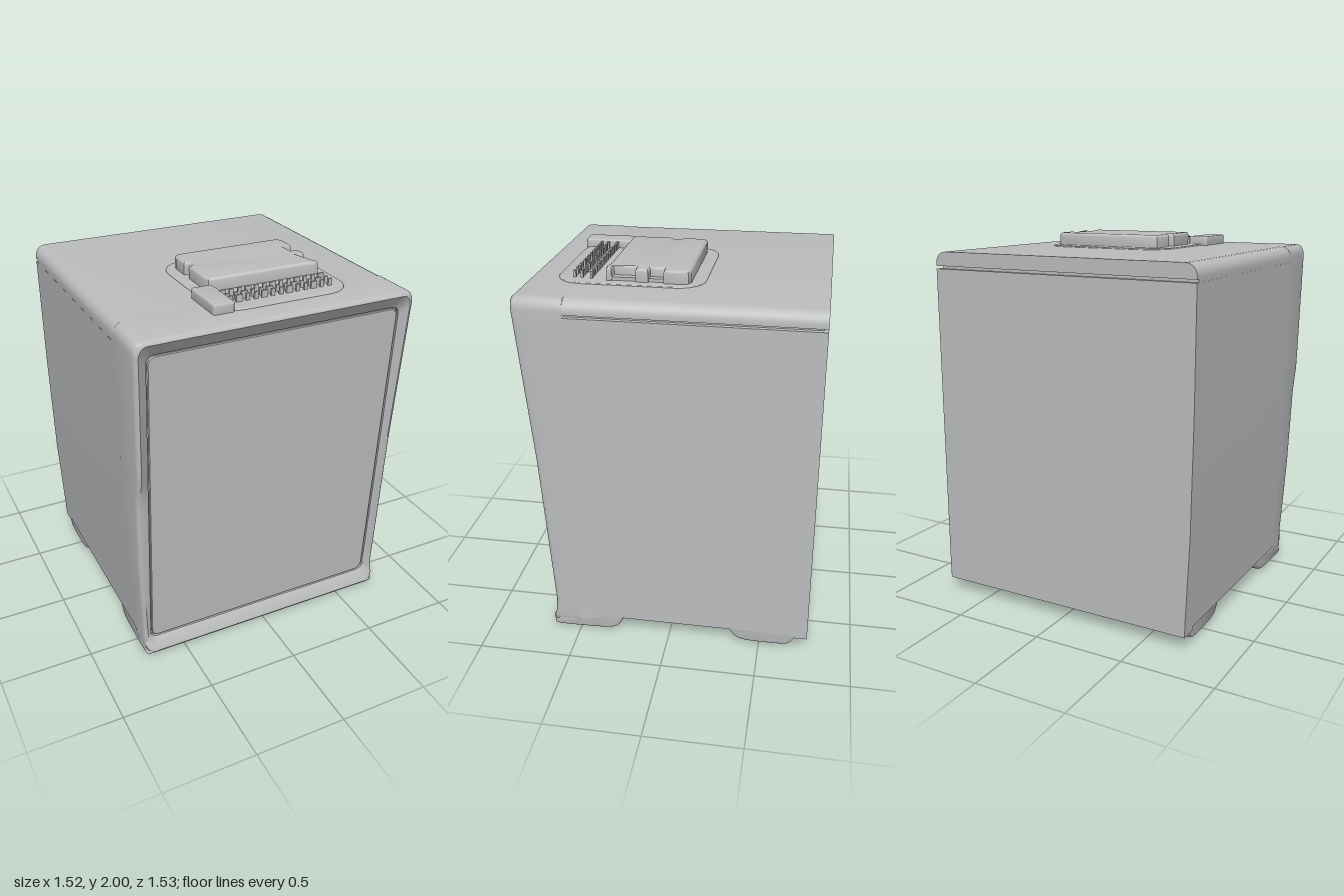
import * as THREE from 'three';
import { toCreasedNormals } from 'three/addons/utils/BufferGeometryUtils.js';

const grey = new THREE.MeshStandardMaterial({ color: 0xbcbdbf });
grey.name = 'casing grey';

// Piecewise linear lookup through [key, value] pairs
function lerpTable(table, k) {
  if (k <= table[0][0]) return table[0][1];
  for (let i = 1; i < table.length; i++) {
    const [k0, v0] = table[i - 1], [k1, v1] = table[i];
    if (k <= k1) return v0 + (v1 - v0) * (k - k0) / (k1 - k0);
  }
  return table[table.length - 1][1];
}

// Slightly tapered side walls, leaning front and set-back door plane
const leftWall = y => lerpTable([[0, -0.73], [0.15, -0.732], [0.6, -0.752], [1.2, -0.762], [1.9, -0.765]], y);
const rightWall = y => lerpTable([[0, 0.757], [1.9, 0.747]], y);
const doorZ = y => 0.626 + (y - 0.1) * 0.054;
function frontZ(x, y) {
  const straight = lerpTable([[0.02, 0.672], [0.11, 0.634], [1.05, 0.69], [1.9, 0.763]], y);
  const bulged = lerpTable([[0.02, 0.672], [0.11, 0.634], [1.05, 0.692], [1.2, 0.729], [1.9, 0.765]], y);
  return x < -0.6 ? bulged : straight;
}

// Rounded rectangle as a counter-clockwise loop of points with subdivided sides
function roundedLoop(l, r, b, t, rad) {
  const corners = [[r - rad, b + rad, -90], [r - rad, t - rad, 0], [l + rad, t - rad, 90], [l + rad, b + rad, 180]]
    .map(([cx, cy, a0]) => Array.from({ length: 7 }, (_, i) => {
      const a = (a0 + i * 15) * Math.PI / 180;
      return [cx + rad * Math.cos(a), cy + rad * Math.sin(a)];
    }));
  const pts = [];
  corners.forEach((c, i) => {
    pts.push(...c);
    const [p, q] = [c[6], corners[(i + 1) % 4][0]];
    for (let k = 1; k < 24; k++) pts.push([p[0] + (q[0] - p[0]) * k / 24, p[1] + (q[1] - p[1]) * k / 24]);
  });
  return pts;
}

// Skin a list of equal loops from back to front, optionally closing the front
function loft(loops, cap) {
  const n = loops[0].length, pos = loops.flat(2), index = [];
  for (let i = 0; i < loops.length - 1; i++) {
    for (let j = 0; j < n; j++) {
      const a = i * n + j, b = i * n + (j + 1) % n;
      index.push(a, b, b + n, a, b + n, a + n);
    }
  }
  if (cap) {
    const s = (loops.length - 1) * n;
    for (let j = 1; j < n - 1; j++) index.push(s, s + j, s + j + 1);
  }
  const g = new THREE.BufferGeometry();
  g.setAttribute('position', new THREE.Float32BufferAttribute(pos, 3));
  g.setIndex(index);
  return toCreasedNormals(g, 0.6);
}

const shapeOf = pts => new THREE.Shape(pts.map(p => new THREE.Vector2(p[0], p[1])));

export function createModel() {
  const model = new THREE.Group();
  model.name = 'cabinet';
  const add = (name, geometry, parent = model) => {
    const m = new THREE.Mesh(geometry, grey);
    m.name = name;
    parent.add(m);
    return m;
  };
  const box = (name, x0, x1, y0, y1, z0, z1, parent) =>
    add(name, new THREE.BoxGeometry(x1 - x0, y1 - y0, z1 - z0), parent)
      .position.set((x0 + x1) / 2, (y0 + y1) / 2, (z0 + z1) / 2);

  // Plan outline (x, z) extruded down from a top height, with a rounded top edge
  const slab = (name, pts, top, depth, bevel, parent) => {
    const g = new THREE.ExtrudeGeometry(shapeOf(pts), {
      depth, bevelEnabled: true, bevelSize: bevel, bevelOffset: -bevel, bevelThickness: bevel, bevelSegments: 3,
    });
    g.rotateX(Math.PI / 2).translate(0, top - bevel, 0);
    add(name, toCreasedNormals(g, 0.6), parent);
  };

  const back = -0.762, joint = 0.5;
  const alongZ = pts => toCreasedNormals(
    new THREE.ExtrudeGeometry(shapeOf(pts), { depth: joint - back, bevelEnabled: false }).translate(0, 0, back), 0.6);

  // Main body, up to the seam below the lid
  const levels = [0.09, 0.15, 0.6, 1.2, 1.835];
  add('body', alongZ([
    ...levels.map(y => [rightWall(y), y]),
    ...levels.slice().reverse().map(y => [leftWall(y), y]),
  ]));

  // Lid with rounded long edges, and the recessed seam on the left side and back
  const lidArc = (cx, a0) => Array.from({ length: 7 }, (_, i) => {
    const a = (a0 + i * 15) * Math.PI / 180;
    return [cx + 0.06 * Math.cos(a), 1.865 + 0.06 * Math.sin(a)];
  });
  add('lid', alongZ([[-0.765, 1.85], [0.747, 1.85], ...lidArc(0.687, 0), ...lidArc(-0.705, 90)]));
  box('lidSeam', -0.764, 0.722, 1.82, 1.86, -0.74, joint);

  // Front frame: outer wall, rounded rim, then a slope down to the door opening
  const rim = (inset, setBack) => roundedLoop(-1, 1, 0.015 + inset, 1.925 - inset, 0.06).map(([u, y]) => {
    const l = leftWall(y) + inset, r = rightWall(y) - inset;
    const x = (l + r) / 2 + u * (r - l) / 2;
    return [x, y, setBack === null ? joint : frontZ(x, y) - setBack];
  });
  const opening = (inset, setBack) => roundedLoop(-0.69 + inset, 0.69 - inset, 0.1 + inset, 1.835 - inset, 0.04)
    .map(([x, y]) => [x, y, doorZ(y) - setBack]);
  add('frontFrame', loft([
    rim(0, null), rim(0, 0.025), rim(0.004, 0.011), rim(0.012, 0.003), rim(0.022, 0),
    opening(0, 0), opening(0, 0.02), opening(0.02, 0.02),
  ], false));
  add('frontDoor', loft([opening(0.007, 0.03), opening(0.007, 0.004), opening(0.011, 0)], true));

  // Two full-width foot bars; profiles run in z and y
  const foot = (name, pts) => {
    const curve = new THREE.SplineCurve(pts.map(p => new THREE.Vector2(p[0], p[1]))).getPoints(36);
    const bevel = 0.03, width = 1.48;
    const g = new THREE.ExtrudeGeometry(new THREE.Shape(curve), {
      depth: width - 2 * bevel, bevelEnabled: true, bevelSize: 0.012, bevelOffset: -0.012,
      bevelThickness: bevel, bevelSegments: 3,
    });
    g.rotateY(-Math.PI / 2).translate(width / 2 - bevel + 0.013, 0, 0);
    add(name, toCreasedNormals(g, 0.7));
  };
  foot('frontFoot', [[0.24, 0.115], [0.26, 0.07], [0.29, 0.025], [0.35, 0.006], [0.5, 0], [0.62, 0], [0.655, 0.015], [0.625, 0.06], [0.6, 0.115]]);
  foot('backFoot', [[-0.72, 0.115], [-0.7, 0.07], [-0.67, 0.03], [-0.62, 0.015], [-0.45, 0.015], [-0.38, 0.03], [-0.345, 0.065], [-0.31, 0.115]]);
  box('backFootLedge', -0.73, 0.752, 0.07, 0.1, back, -0.66);

  // Control area on the lid
  const controls = new THREE.Group();
  controls.name = 'controls';
  model.add(controls);
  slab('controlBase', roundedLoop(-0.27, 0.48, -0.14, 0.62, 0.14), 1.932, 0.02, 0.006, controls);

  // Raised cover with a round notch on one edge and two square ones on the other
  const notch = Array.from({ length: 7 }, (_, i) => {
    const a = (90 - i * 30) * Math.PI / 180;
    return [-0.208 + 0.026 * Math.cos(a), 0.1 + 0.03 * Math.sin(a)];
  });
  slab('raisedCover', [
    [-0.18, -0.072], [0.4, -0.072], [0.425, -0.06], [0.437, -0.03], [0.437, 0.062], [0.385, 0.066], [0.385, 0.138],
    [0.432, 0.142], [0.432, 0.205], [0.38, 0.21], [0.38, 0.325], [0.425, 0.33], [0.425, 0.355], [0.39, 0.362],
    [0.36, 0.352], [-0.17, 0.352], [-0.198, 0.34], [-0.208, 0.31], ...notch, [-0.208, -0.03], [-0.2, -0.06],
  ], 2, 0.07, 0.015, controls);
  box('coverCore', 0.3, 0.42, 1.92, 1.95, -0.04, 0.33, controls);

  slab('sideBlock', roundedLoop(-0.305, -0.19, 0.36, 0.622, 0.015), 1.975, 0.05, 0.008, controls);

  // Three rows of small upright pins
  [0.44, 0.49, 0.527].forEach((z, row) => {
    for (let i = 0; i < 13; i++) {
      const x = -0.17 + i * 0.0465, w = (i + row) % 3 === 0 ? 0.034 : 0.02;
      box('pin', x - w / 2, x + w / 2, 1.92, 1.968, z - 0.006, z + 0.006, controls);
    }
  });

  return model;
}
